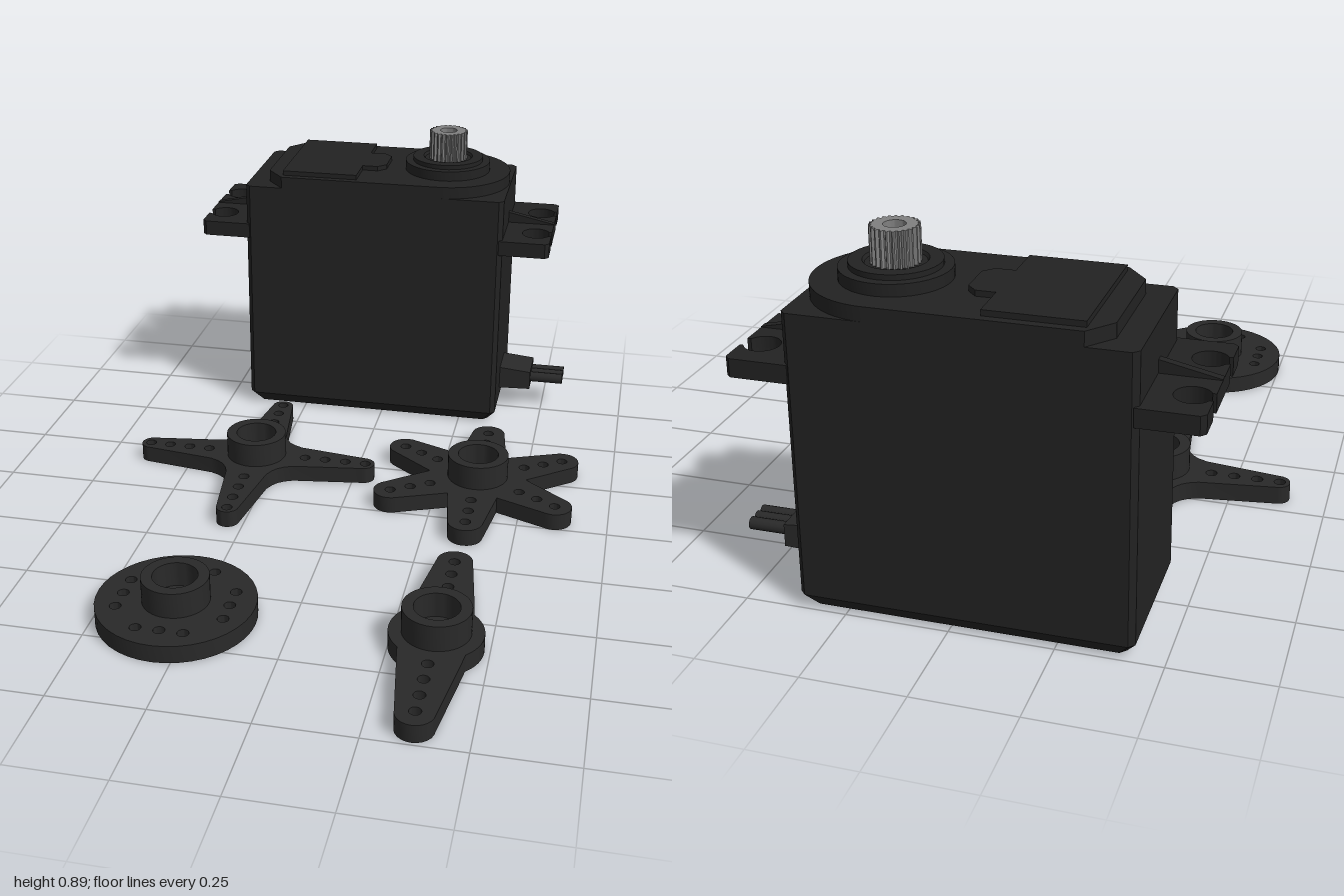
import * as THREE from 'three';
import { toCreasedNormals } from 'three/addons/utils/BufferGeometryUtils.js';

const paint = (color) => new THREE.MeshStandardMaterial({ color });
const CASE = paint(0x222222), HORN = paint(0x292929), METAL = paint(0x808080);
const V = (x, y) => new THREE.Vector2(x, y);
const polar = (r, a) => V(r * Math.cos(a), r * Math.sin(a));

function add(parent, name, geometry, material, x = 0, y = 0, z = 0) {
  const mesh = new THREE.Mesh(geometry, material);
  mesh.name = name;
  mesh.position.set(x, y, z);
  parent.add(mesh);
  return mesh;
}

// Plan outline raised along y
function slab(shape, height) {
  const g = new THREE.ExtrudeGeometry(shape, { depth: height, bevelEnabled: false, curveSegments: 20 });
  return toCreasedNormals(g.rotateX(-Math.PI / 2), 0.6);
}

function lathe(points, segments = 40) {
  return toCreasedNormals(new THREE.LatheGeometry(points.map((p) => V(...p)), segments), 0.6);
}

function punch(shape, x, y, r) {
  shape.holes.push(new THREE.Path().absarc(x, y, r, 0, Math.PI * 2, true));
}

// Rectangle with small cut corners
function cutRect(x0, x1, w, c) {
  return new THREE.Shape([
    V(x0 + c, -w), V(x1 - c, -w), V(x1, -w + c), V(x1, w - c),
    V(x1 - c, w), V(x0 + c, w), V(x0, w - c), V(x0, -w + c)]);
}

// Horn plate with n tapering arms; valley is the outline between two arms
function armPlate(n, { length, tip, root, valley, spread = 0, steps = 0, holes }) {
  const pts = [];
  for (let k = 0; k < n; k++) {
    const a = Math.PI / 2 + (k / n) * Math.PI * 2, mid = a - Math.PI / n;
    const put = (r, w) => pts.push(V(r, w).rotateAround(V(0, 0), a));
    for (let i = 0; i <= steps; i++) {
      pts.push(polar(valley, mid + (steps ? (i / steps * 2 - 1) * spread : 0)));
    }
    root.forEach(([r, w]) => put(r, -w));
    for (let i = 0; i <= 12; i++) {
      const t = -Math.PI / 2 + (i / 12) * Math.PI;
      put(length - tip + tip * Math.cos(t), tip * Math.sin(t));
    }
    [...root].reverse().forEach(([r, w]) => put(r, w));
  }
  const shape = new THREE.Shape(pts);
  for (let k = 0; k < n; k++) {
    for (const r of holes) {
      const p = polar(r, Math.PI / 2 + (k / n) * Math.PI * 2);
      punch(shape, p.x, p.y, 0.015);
    }
  }
  return shape;
}

// Plate plus raised hub with a stepped bore
function horn(parent, name, shape, x, z) {
  const group = new THREE.Group();
  group.name = name;
  group.position.set(x, 0, z);
  punch(shape, 0, 0, 0.058);
  add(group, 'hornPlate', slab(shape, 0.048), HORN);
  add(group, 'hornHub', lathe([[0.087, 0.04], [0.087, 0.118], [0.058, 0.118], [0.058, 0.05],
    [0.03, 0.05], [0.03, 0.012], [0.06, 0.012]]), HORN);
  parent.add(group);
}

// Mounting ear with two open keyhole slots and a centre rib
function mountingEar() {
  const ear = new THREE.Group();
  ear.name = 'mountingEar';
  const U = 0.141, W = 0.193, r = 0.042, m = 0.018, a = Math.asin(m / r);
  const s = new THREE.Shape().moveTo(-0.01, -W).lineTo(U - 0.012, -W).lineTo(U, -W + 0.012);
  for (const c of [-0.097, 0.097]) {
    s.lineTo(U, c - m);
    s.absarc(0.094, c, r, -a, a, true);
    s.lineTo(U, c + m);
  }
  s.lineTo(U, W - 0.012).lineTo(U - 0.012, W).lineTo(-0.01, W).closePath();
  add(ear, 'earPlate', slab(s, 0.045), CASE, 0, 0.568);
  const rib = new THREE.Shape([V(-0.01, 0.61), V(U, 0.61), V(U, 0.615), V(0, 0.645), V(-0.01, 0.645)]);
  add(ear, 'earRib', new THREE.ExtrudeGeometry(rib, { depth: 0.02, bevelEnabled: false }), CASE, 0, 0, -0.01);
  return ear;
}

function servo() {
  const g = new THREE.Group();
  g.name = 'servo';
  g.position.z = -0.806;
  const X0 = -0.431, X1 = 0.365, W = 0.193, shaftX = 0.168;

  // Case and tapered base with screw recesses
  add(g, 'case', slab(cutRect(X0, X1, W, 0.014), 0.701), CASE, 0, 0.035);
  const baseShape = cutRect(X0, X1, W, 0.014);
  for (const x of [X0 + 0.06, X1 - 0.06]) for (const z of [-0.135, 0.135]) punch(baseShape, x, z, 0.026);
  const base = slab(baseShape, 0.035), p = base.attributes.position;
  for (let i = 0; i < p.count; i++) {
    if (p.getY(i) > 0.01) continue;
    p.setX(i, p.getX(i) - 0.025 * Math.sign(p.getX(i) + 0.033));
    p.setZ(i, p.getZ(i) - 0.025 * Math.sign(p.getZ(i)));
  }
  add(g, 'base', toCreasedNormals(base, 0.5), CASE);

  // Gear cover with a round end, and its raised panel
  const cover = new THREE.Shape().moveTo(-0.368, -0.13).lineTo(-0.316, -W).lineTo(shaftX, -W);
  cover.absarc(shaftX, 0, W, -Math.PI / 2, Math.PI / 2, false);
  cover.lineTo(-0.316, W).lineTo(-0.368, 0.13).closePath();
  add(g, 'gearCover', slab(cover, 0.04), CASE, 0, 0.731);
  const panel = new THREE.Shape([V(-0.316, -0.172), V(-0.087, -0.172), V(-0.087, -0.07), V(-0.04, -0.07),
    V(-0.016, -0.045), V(-0.016, 0.045), V(-0.04, 0.07), V(-0.087, 0.07), V(-0.087, 0.172), V(-0.316, 0.172)]);
  add(g, 'coverPanel', slab(panel, 0.02), CASE, 0, 0.765);

  // Stepped bearing boss and splined output shaft
  add(g, 'bearingBoss', lathe([[0.13, 0.76], [0.13, 0.8], [0.107, 0.8], [0.107, 0.813],
    [0.075, 0.813], [0.07, 0.806], [0, 0.806]]), CASE, shaftX);
  const teeth = 24, outline = [];
  for (let i = 0; i < teeth * 4; i++) {
    outline.push(polar(i % 4 < 2 ? 0.058 : 0.051, ((i + 0.5) / (teeth * 4)) * Math.PI * 2));
  }
  const spline = new THREE.Shape(outline);
  punch(spline, 0, 0, 0.026);
  add(g, 'outputShaft', slab(spline, 0.093), METAL, shaftX, 0.8);

  // Ears at both ends
  const leftEar = mountingEar(), rightEar = mountingEar();
  leftEar.position.x = X1;
  rightEar.position.x = X0;
  rightEar.rotation.y = Math.PI;
  g.add(leftEar, rightEar);

  // Cable grommet and three wires
  const grommet = new THREE.Shape([V(X1 - 0.01, 0.066), V(0.462, 0.07), V(0.462, 0.128), V(X1 - 0.01, 0.138)]);
  add(g, 'cableGrommet', new THREE.ExtrudeGeometry(grommet, { depth: 0.12, bevelEnabled: false }), HORN, 0, 0, -0.06);
  for (const z of [-0.03, 0, 0.03]) {
    const wire = new THREE.CylinderGeometry(0.0155, 0.0155, 0.11, 12).rotateZ(Math.PI / 2);
    add(g, 'wire', wire, HORN, 0.508, 0.101, z);
  }
  return g;
}

export function createModel() {
  const model = new THREE.Group();
  model.name = 'servoWithHorns';
  model.add(servo());

  horn(model, 'crossHorn', armPlate(4, {
    length: 0.357, tip: 0.032, valley: 0.118, root: [[0.1, 0.071], [0.125, 0.06]],
    holes: [0.148, 0.209, 0.27, 0.33] }), -0.296, -0.182);
  horn(model, 'starHorn', armPlate(6, {
    length: 0.318, tip: 0.049, valley: 0.14, root: [], holes: [0.148, 0.209, 0.27] }), 0.367, -0.18);
  horn(model, 'doubleHorn', armPlate(2, {
    length: 0.372, tip: 0.048, valley: 0.119, spread: 0.8, steps: 12, root: [[0.115, 0.079]],
    holes: [0.138, 0.199, 0.26, 0.32] }), 0.367, 0.62);

  // Round horn with a square pattern of holes
  const disc = new THREE.Shape().absarc(0, 0, 0.206, 0, Math.PI * 2, false);
  for (const s of [-0.14, 0.14]) {
    for (const t of [-0.061, 0, 0.061]) {
      punch(disc, s, t, 0.015);
      punch(disc, t, s, 0.015);
    }
  }
  horn(model, 'discHorn', disc, -0.296, 0.617);
  return model;
}
